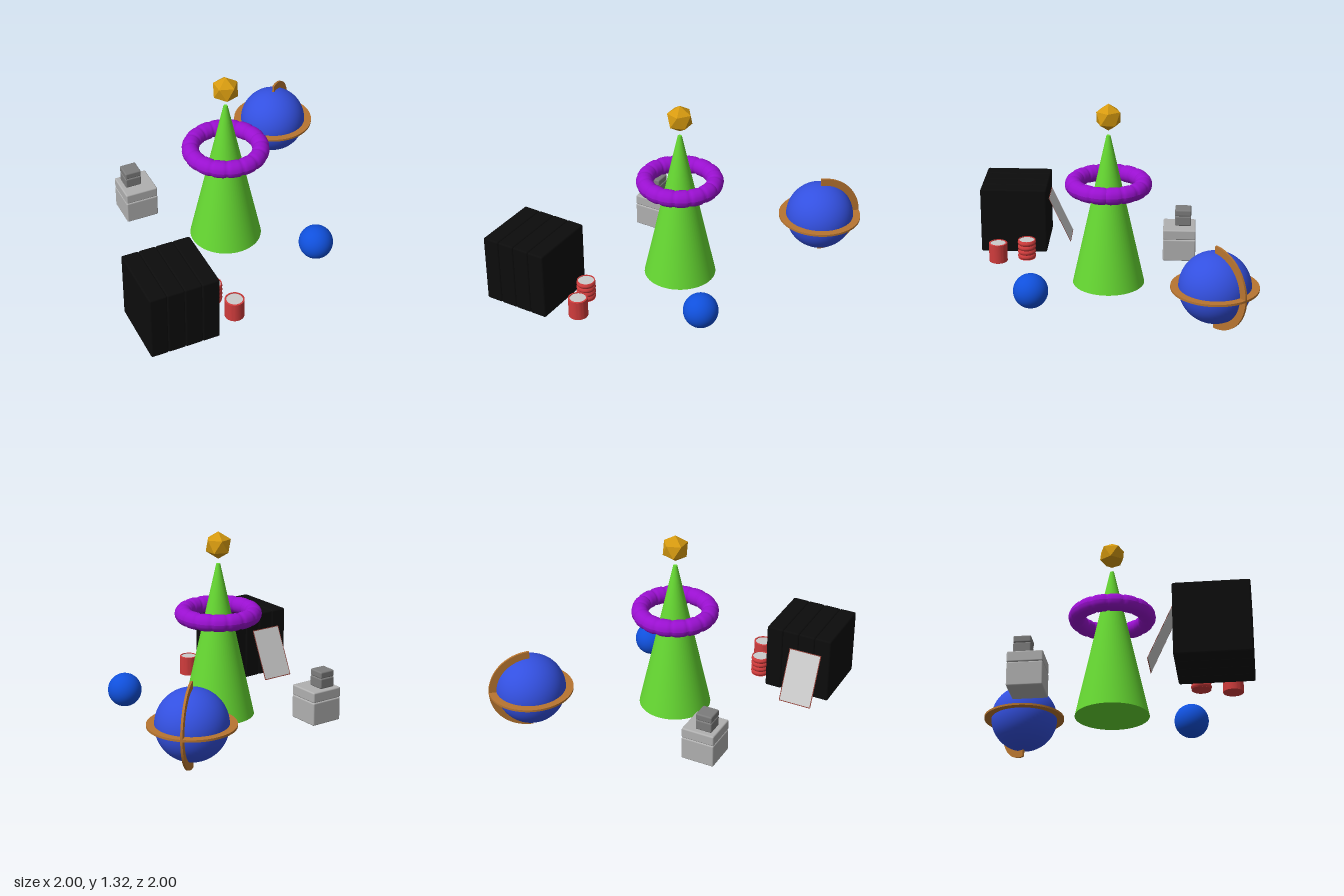
import * as THREE from 'three';
import { RoundedBoxGeometry } from 'three/addons/geometries/RoundedBoxGeometry.js';
import { toCreasedNormals } from 'three/addons/utils/BufferGeometryUtils.js';

const mat = (color, extra = {}) => new THREE.MeshStandardMaterial({ color, ...extra });

function add(parent, name, geometry, material, x = 0, y = 0, z = 0) {
  const mesh = new THREE.Mesh(geometry, material);
  mesh.name = name;
  mesh.position.set(x, y, z);
  parent.add(mesh);
  return mesh;
}

function group(parent, name, x = 0, y = 0, z = 0) {
  const g = new THREE.Group();
  g.name = name;
  g.position.set(x, y, z);
  parent.add(g);
  return g;
}

// Torus pinched at even intervals into puffy segments
function segmentedRing(radius, tube, count) {
  const geo = new THREE.TorusGeometry(radius, tube, 20, count * 10);
  const pos = geo.attributes.position;
  const p = new THREE.Vector3();
  const c = new THREE.Vector3();
  for (let i = 0; i < pos.count; i++) {
    p.fromBufferAttribute(pos, i);
    const a = Math.atan2(p.y, p.x);
    c.set(Math.cos(a) * radius, Math.sin(a) * radius, 0);
    const k = 1 - 0.1 * Math.pow(Math.abs(Math.cos(a * count / 2)), 14);
    p.sub(c).multiplyScalar(k).add(c);
    pos.setXYZ(i, p.x, p.y, p.z);
  }
  geo.rotateX(Math.PI / 2);
  geo.computeVertexNormals();
  return geo;
}

// Flat ring or half ring, centred on its thickness
function flatRing(outer, inner, thickness, from, to) {
  const shape = new THREE.Shape();
  if (to - from > 6) {
    shape.absarc(0, 0, outer, 0, Math.PI * 2, false);
    const hole = new THREE.Path();
    hole.absarc(0, 0, inner, 0, Math.PI * 2, true);
    shape.holes.push(hole);
  } else {
    shape.absarc(0, 0, outer, from, to, false);
    shape.absarc(0, 0, inner, to, from, true);
    shape.closePath();
  }
  const geo = new THREE.ExtrudeGeometry(shape, { depth: thickness, bevelEnabled: false, curveSegments: 48 });
  geo.translate(0, 0, -thickness / 2);
  return toCreasedNormals(geo, 0.6);
}

// Can with a recessed lid; ribs > 0 gives stacked bulges on the side
function can(parent, name, x, z, ribs) {
  const r = 0.067, h = 0.145;
  const pts = [[0, 0.002], [r - 0.004, 0.002]];
  if (ribs) {
    const n = ribs * 6;
    for (let i = 0; i <= n; i++) {
      const t = i / n;
      pts.push([r - 0.008 * (1 - Math.abs(Math.sin(t * Math.PI * ribs))), 0.004 + t * (h - 0.006)]);
    }
  } else pts.push([r, 0.004], [r, h - 0.002]);
  pts.push([r - 0.004, h], [0.056, h], [0.056, h - 0.012]);
  const g = group(parent, name, x, 0, z);
  const wall = new THREE.LatheGeometry(pts.map(([a, b]) => new THREE.Vector2(a, b)), 40);
  add(g, 'canWall', toCreasedNormals(wall, 0.6), mat(0xd03c3c, { side: THREE.DoubleSide }));
  add(g, 'canLid', new THREE.CylinderGeometry(0.057, 0.057, 0.004, 40), mat(0xcccccc), 0, h - 0.007, 0);
}

export function createModel() {
  const model = new THREE.Group();
  model.name = 'playScene';

  // Central cone with floating ring and faceted gem
  const tower = group(model, 'coneTower', -0.026, 0, 0.027);
  add(tower, 'cone', new THREE.CylinderGeometry(0.014, 0.253, 1.09, 64), mat(0x66d932), 0, 0.545, 0);
  add(tower, 'segmentedRing', segmentedRing(0.243, 0.06, 16), mat(0x9a10d0), 0, 0.735, 0);
  const gem = new THREE.IcosahedronGeometry(0.096, 0);
  gem.rotateZ(-Math.atan(2 / (1 + Math.sqrt(5))));
  add(tower, 'gem', gem, mat(0xd69a10, { flatShading: true }), 0, 1.22, 0);

  // Large black block made of four slabs
  const block = group(model, 'slabBlock', -0.757, 0.246, 0.756);
  const black = mat(0x0c0c0c);
  for (let i = 0; i < 4; i++) {
    add(block, 'slab', new RoundedBoxGeometry(0.122, 0.488, 0.488, 3, 0.012), black, (i - 1.5) * 0.1215, 0, 0);
  }

  // Thin framed panel leaning on the block's back
  const panel = group(model, 'leaningPanel', -0.815, 0.188, 0.43);
  panel.rotation.x = Math.atan2(0.16, 0.347);
  add(panel, 'panelEdge', new THREE.BoxGeometry(0.241, 0.384, 0.002), mat(0x8a4038));
  add(panel, 'panelFace', new THREE.BoxGeometry(0.229, 0.372, 0.004), mat(0xcccccc));

  // Two cans
  can(model, 'ribbedCan', -0.412, 0.65, 4);
  can(model, 'plainCan', -0.342, 0.853, 0);

  // Ball
  add(model, 'ball', new THREE.SphereGeometry(0.12, 48, 32), mat(0x1050dc), 0.434, 0.122, 0.533);

  // Stacked grey boxes, each a body with a lid
  const boxes = group(model, 'stackedBoxes');
  const light = mat(0xb0b0b0), dark = mat(0x7c7c7c);
  const lidded = (name, x, z, w, y0, ySplit, y1, material) => {
    const g = group(boxes, name, x, 0, z);
    for (const [part, a, b] of [['body', y0, ySplit], ['lid', ySplit, y1]]) {
      add(g, part, new RoundedBoxGeometry(w, b - a, w, 3, 0.01), material, 0, (a + b) / 2, 0);
    }
  };
  lidded('largeBox', -0.511, -0.469, 0.238, 0.004, 0.17, 0.245, light);
  lidded('smallBox', -0.539, -0.495, 0.118, 0.245, 0.32, 0.368, dark);

  // Globe with a horizon ring and a half meridian
  const globe = group(model, 'globe', 0.707, 0.304, -0.708);
  const brass = mat(0xb87530);
  add(globe, 'globeSphere', new THREE.SphereGeometry(0.241, 64, 40), mat(0x3350e0));
  const horizon = add(globe, 'horizonRing', flatRing(0.292, 0.239, 0.015, 0, Math.PI * 2), brass);
  horizon.rotation.x = Math.PI / 2;
  const meridian = add(globe, 'meridianArc', flatRing(0.292, 0.239, 0.015, -Math.PI / 2, Math.PI / 2), brass);
  meridian.rotation.y = Math.PI * 0.235;

  return model;
}
